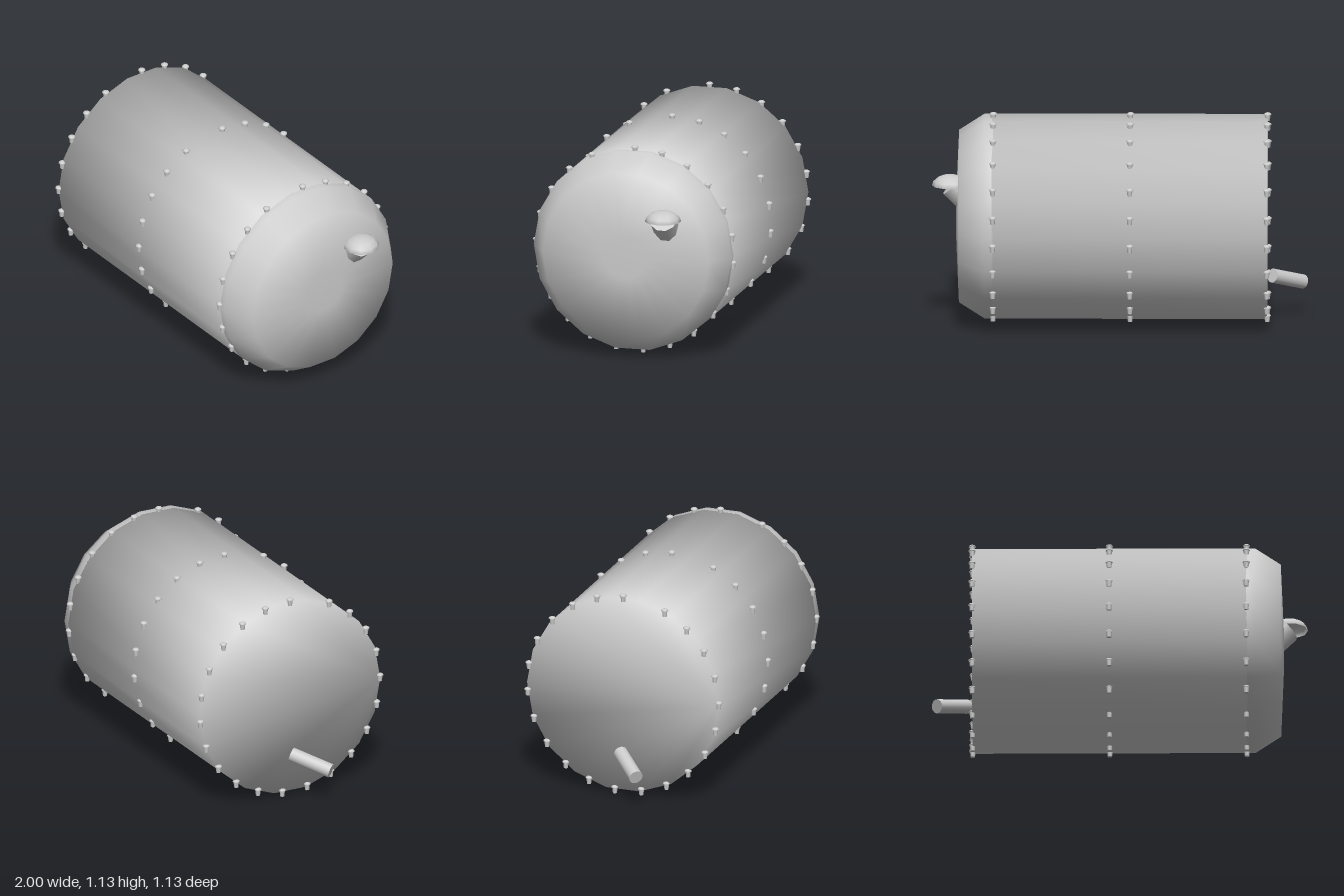
import * as THREE from 'three';

const SIDES = 18;
const CENTER_Y = 0.557;

// Closed drum along x; each ring is [x, radius, normal x, normal radial]
function drum(rings, capLeft) {
  const pos = [], nor = [], idx = [];
  for (const [x, r, nx, nr] of rings) {
    const len = Math.hypot(nx, nr);
    for (let j = 0; j < SIDES; j++) {
      const t = (j / SIDES) * Math.PI * 2;
      pos.push(x, r * Math.sin(t), r * Math.cos(t));
      nor.push(nx / len, (nr / len) * Math.sin(t), (nr / len) * Math.cos(t));
    }
  }
  for (let i = 0; i < rings.length - 1; i++) {
    for (let j = 0; j < SIDES; j++) {
      const a = i * SIDES + j, b = i * SIDES + (j + 1) % SIDES;
      idx.push(a, a + SIDES, b, b, a + SIDES, b + SIDES);
    }
  }
  const last = (rings.length - 1) * SIDES;
  for (let j = 1; j < SIDES - 1; j++) {
    if (capLeft) idx.push(0, j, j + 1);
    idx.push(last, last + j + 1, last + j);
  }
  const g = new THREE.BufferGeometry();
  g.setAttribute('position', new THREE.Float32BufferAttribute(pos, 3));
  g.setAttribute('normal', new THREE.Float32BufferAttribute(nor, 3));
  g.setIndex(idx);
  return g;
}

export function createModel() {
  const model = new THREE.Group();
  model.name = 'tank';
  const metal = new THREE.MeshStandardMaterial({ color: 0xcccccc, side: THREE.DoubleSide });
  metal.name = 'grey metal';

  function add(name, geometry, parent = model) {
    const mesh = new THREE.Mesh(geometry, metal);
    mesh.name = name;
    parent.add(mesh);
    return mesh;
  }

  // Cylinder running between two points
  function rod(name, from, to, radius, sides) {
    const a = new THREE.Vector3(...from), b = new THREE.Vector3(...to);
    const dir = b.clone().sub(a);
    const mesh = add(name, new THREE.CylinderGeometry(radius, radius, dir.length(), sides));
    mesh.position.copy(a).add(b).multiplyScalar(0.5);
    mesh.quaternion.setFromUnitVectors(new THREE.Vector3(0, 1, 0), dir.normalize());
    return mesh;
  }

  // Drum body, softly shaded over its rims
  add('body', drum([
    [-0.785, 0.547, -1, 1.2],
    [0.68, 0.547, 1, 1.2],
  ], true)).position.y = CENTER_Y;

  // Bevelled end cap
  add('endCap', drum([
    [0.675, 0.547, 0.1, 1],
    [0.72, 0.547, 0.35, 1],
    [0.857, 0.46, 1, 0.75],
    [0.872, 0.12, 1, 0.03],
  ], false)).position.y = CENTER_Y;

  // Three bands of upright rivets
  const stem = new THREE.CylinderGeometry(0.015, 0.012, 0.032, 8);
  stem.translate(0, -0.005, 0);
  const head = new THREE.SphereGeometry(0.02, 10, 3, 0, Math.PI * 2, 0, Math.PI / 2);
  head.scale(1, 0.6, 1);
  head.translate(0, 0.011, 0);
  for (const x of [-0.785, -0.055, 0.675]) {
    const band = new THREE.Group();
    band.name = 'rivetBand';
    model.add(band);
    for (let i = 0; i < 22; i++) {
      const t = i * 0.2778;
      const rivet = new THREE.Group();
      rivet.name = 'rivet';
      rivet.position.set(x, CENTER_Y + 0.545 * Math.cos(t), -0.545 * Math.sin(t));
      add('rivetStem', stem, rivet);
      add('rivetHead', head, rivet);
      band.add(rivet);
    }
  }

  // Slanted vent on the end cap with a domed hood
  rod('ventPipe', [0.75, 0.646, -0.22], [0.887, 0.783, -0.22], 0.075, 10);
  const hood = add('ventHood',
    new THREE.SphereGeometry(0.097, 10, 4, 0, Math.PI * 2, 0, Math.PI / 2));
  hood.scale.y = 0.6;
  hood.position.set(0.903, 0.776, -0.22);

  // Drain pipe at the other end
  rod('drainPipe', [-0.974, 0.168, 0.145], [-0.812, 0.235, -0.005], 0.038, 16);

  return model;
}
